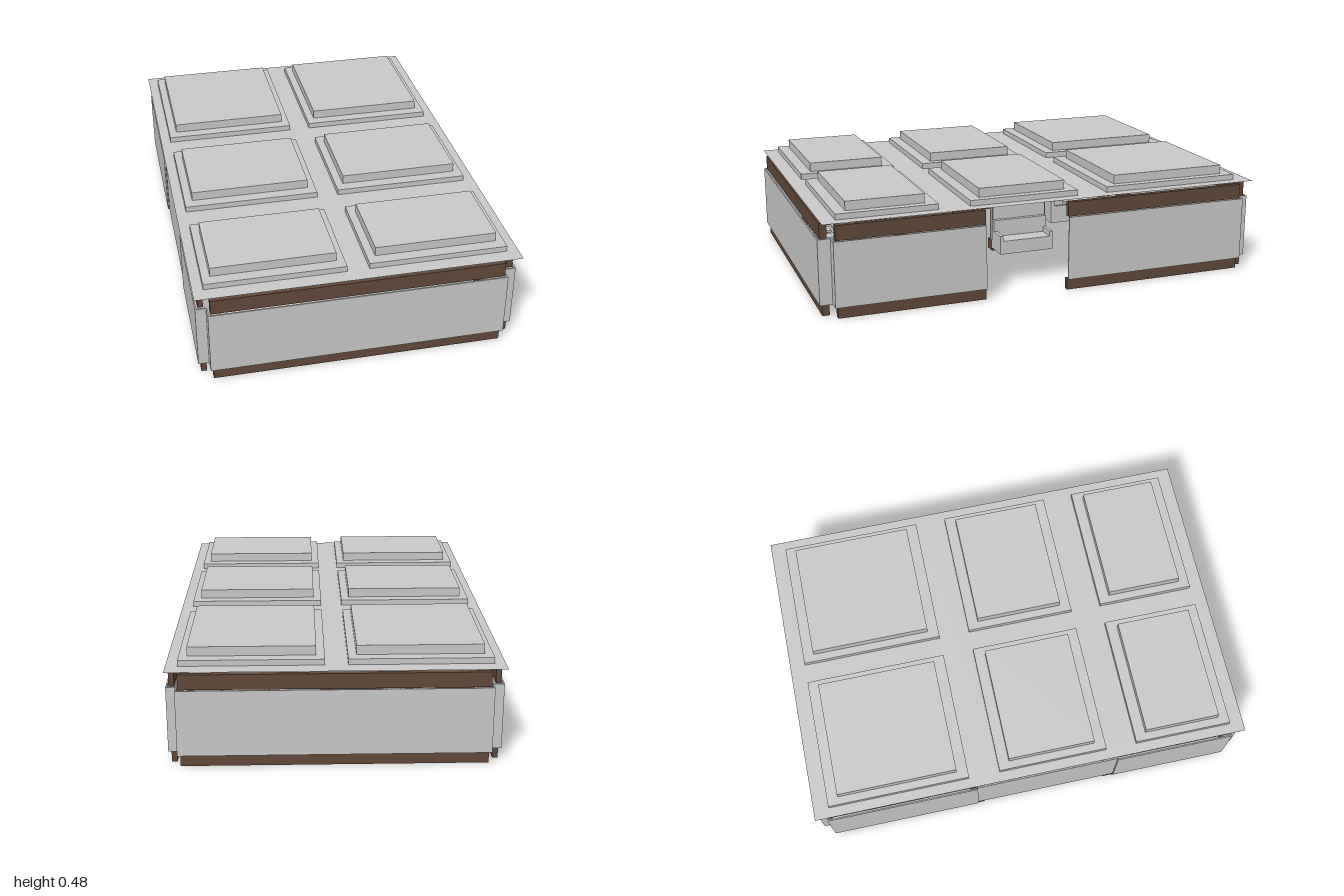
import * as THREE from 'three';

const grey = new THREE.MeshStandardMaterial({ color: 0xcccccc, side: THREE.DoubleSide });
const brown = new THREE.MeshStandardMaterial({ color: 0x62493a, side: THREE.DoubleSide });

// Box given by its low and high corners
function box(parent, name, x0, x1, y0, y1, z0, z1, mat = grey) {
  const m = new THREE.Mesh(new THREE.BoxGeometry(x1 - x0, y1 - y0, z1 - z0), mat);
  m.position.set((x0 + x1) / 2, (y0 + y1) / 2, (z0 + z1) / 2);
  m.name = name;
  parent.add(m);
  return m;
}

function group(parent, name, x = 0, z = 0, turn = 0) {
  const g = new THREE.Group();
  g.name = name;
  g.position.set(x, 0, z);
  g.rotation.y = turn;
  parent.add(g);
  return g;
}

// Run of wall along an open path; trims sit on the inner (left-hand) side
function wallRun(parent, name, path, bothSides = false) {
  const g = group(parent, name);
  const last = path.length - 2;
  for (let i = 0; i <= last; i++) {
    const [ax, az] = path[i], [bx, bz] = path[i + 1];
    const len = Math.hypot(bx - ax, bz - az);
    const seg = group(g, 'wallSegment', ax, az, Math.atan2(-(bz - az), bx - ax));
    box(seg, 'wallPanel', 0, len, 0.05, 0.335, -0.006, 0);
    // local -z is the inside of the room
    const out = bothSides ? 0.02 : -0.012, inn = -0.035;
    const a = i > 0 ? 0.012 : 0, b = i < last ? 0.012 : 0;
    box(seg, 'skirting', a, len - b, 0, 0.05, inn, out, brown);
    box(seg, 'cornice', a, len - b, 0.335, 0.4, inn, out, brown);
  }
}

// Stepped ceiling recess, open below
function coffer(parent, x0, x1, z0, z1) {
  const d = [0.035, 0.05];
  const rings = [[0, 0.415], [0, 0.44], [1, 0.44], [1, 0.48]].map(([k, y]) => [
    [x0 + k * d[0], y, z1 - k * d[1]], [x1 - k * d[0], y, z1 - k * d[1]],
    [x1 - k * d[0], y, z0 + k * d[1]], [x0 + k * d[0], y, z0 + k * d[1]]]);
  const pos = [];
  const quad = (a, b, c, e) => pos.push(...a, ...b, ...c, ...a, ...c, ...e);
  for (let r = 0; r < 3; r++)
    for (let i = 0; i < 4; i++) {
      const j = (i + 1) % 4;
      quad(rings[r][i], rings[r][j], rings[r + 1][j], rings[r + 1][i]);
    }
  quad(...rings[3]);
  const geo = new THREE.BufferGeometry();
  geo.setAttribute('position', new THREE.Float32BufferAttribute(pos, 3));
  geo.computeVertexNormals();
  const m = new THREE.Mesh(geo, grey);
  m.name = 'ceilingCoffer';
  parent.add(m);
}

function legs(g, w, d, h, t) {
  for (const sx of [-1, 1]) for (const sz of [-1, 1]) {
    const x = sx * (w / 2 - t), z = sz * (d / 2 - t);
    box(g, 'leg', x - t / 2, x + t / 2, 0.015, h, z - t / 2, z + t / 2);
  }
}

// Chair with its back on -z
function chair(parent, x, z, turn) {
  const g = group(parent, 'chair', x, z, turn);
  box(g, 'chairSeat', -0.033, 0.033, 0.085, 0.095, -0.033, 0.033);
  legs(g, 0.066, 0.066, 0.085, 0.007);
  for (const s of [-1, 1]) box(g, 'backPost', s * 0.029 - 0.003, s * 0.029 + 0.003, 0.095, 0.165, -0.033, -0.027);
  box(g, 'backRest', -0.033, 0.033, 0.135, 0.165, -0.034, -0.027);
}

// Long table with chairs down both sides
function diningSet(parent, x, z, turn) {
  const g = group(parent, 'diningSet', x, z, turn);
  box(g, 'tableTop', -0.22, 0.22, 0.13, 0.14, -0.055, 0.055);
  legs(g, 0.42, 0.1, 0.13, 0.01);
  for (let i = 0; i < 4; i++) {
    const cx = -0.165 + i * 0.11;
    chair(g, cx, -0.075, 0);
    chair(g, cx, 0.075, Math.PI);
  }
}

// Sofa or armchair with its back on -z
function sofa(parent, name, x, z, turn, w, back = 0.13) {
  const g = group(parent, name, x, z, turn);
  const h = w / 2;
  box(g, 'seat', -h, h, 0.015, 0.08, -0.045, 0.045);
  box(g, 'backRest', -h, h, 0.015, back, -0.06, -0.04);
  for (const s of [-1, 1]) box(g, 'arm', s * (h - 0.008) - 0.008, s * (h - 0.008) + 0.008, 0.015, 0.105, -0.045, 0.045);
}

export function createModel() {
  const model = new THREE.Group();
  model.name = 'restaurantHall';

  // Outer walls with stepped corners, leaving the entrance open on +x
  wallRun(model, 'outerWall', [
    [0.68, 0.285], [0.68, 0.945], [0.628, 0.945], [0.628, 1], [-0.64, 1], [-0.64, 0.945],
    [-0.685, 0.945], [-0.685, 0.4]].reverse());
  wallRun(model, 'outerWall', [
    [-0.685, -0.26], [-0.685, -0.955], [-0.64, -0.955], [-0.64, -1], [0.65, -1], [0.65, -0.955],
    [0.69, -0.955], [0.69, -0.09]].reverse());
  wallRun(model, 'sideWall', [[-0.678, -0.26], [-0.678, 0.4]]);

  // Inner room with a doorway facing the entrance
  wallRun(model, 'partition', [[-0.67, -0.25], [0.03, -0.25]], true);
  wallRun(model, 'partition', [[-0.67, 0.39], [0.03, 0.39]], true);
  wallRun(model, 'partition', [[0.03, 0.39], [0.03, 0.24]], true);
  wallRun(model, 'partition', [[0.03, 0.03], [0.03, -0.25]], true);

  // Ceiling sheet with six recesses
  const sheet = new THREE.Shape([[-0.69, -0.99], [0.69, -0.99], [0.69, 1], [-0.69, 1]].map(p => new THREE.Vector2(...p)));
  const ceiling = group(model, 'ceiling');
  for (const [x0, x1] of [[-0.645, -0.05], [0.045, 0.64]])
    for (const [z0, z1] of [[-0.93, -0.29], [-0.15, 0.345], [0.485, 0.925]]) {
      sheet.holes.push(new THREE.Path([[x0, -z0], [x1, -z0], [x1, -z1], [x0, -z1]].map(p => new THREE.Vector2(...p))));
      coffer(ceiling, x0, x1, z0, z1);
    }
  const sheetMesh = new THREE.Mesh(new THREE.ShapeGeometry(sheet), grey);
  sheetMesh.rotation.x = -Math.PI / 2;
  sheetMesh.position.y = 0.415;
  sheetMesh.name = 'ceilingSheet';
  ceiling.add(sheetMesh);

  // Dining tables
  diningSet(model, 0.39, -0.63, Math.PI / 2);
  diningSet(model, -0.34, 0.71, 0);

  // Entrance bench against a tall panel
  box(model, 'benchPanel', 0.05, 0.06, 0.015, 0.4, -0.24, 0.03);
  sofa(model, 'entranceBench', 0.12, -0.105, Math.PI / 2, 0.27, 0.16);

  // Lounge corner
  sofa(model, 'loungeSofa', -0.54, -0.66, Math.PI / 2, 0.28);
  sofa(model, 'armchair', -0.28, -0.46, Math.PI, 0.1);
  sofa(model, 'armchair', -0.42, -0.46, Math.PI, 0.1);
  sofa(model, 'armchair', -0.16, -0.87, 0, 0.1);
  const table = group(model, 'loungeTable', -0.34, -0.61);
  for (const [name, r, h, y] of [['tableTop', 0.09, 0.012, 0.09], ['tableStem', 0.012, 0.07, 0.05]]) {
    const m = new THREE.Mesh(new THREE.CylinderGeometry(r, r, h, 20), grey);
    m.position.y = y;
    m.name = name;
    table.add(m);
  }
  return model;
}
